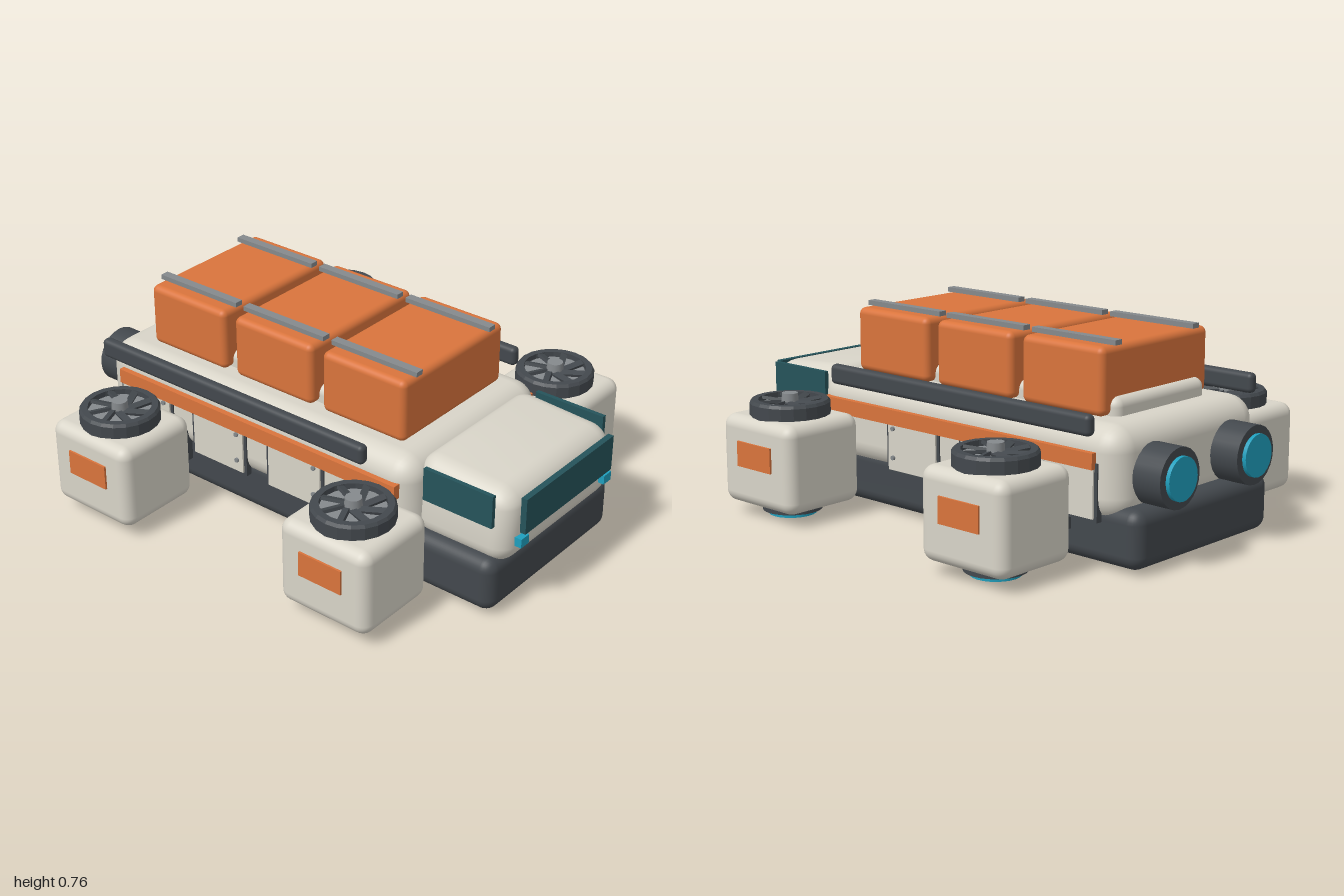
import * as THREE from 'three';
import { RoundedBoxGeometry } from 'three/addons/geometries/RoundedBoxGeometry.js';

const mat = (color) => new THREE.MeshStandardMaterial({ color });

export function createModel() {
  const model = new THREE.Group();
  const light = mat(0xd8d4c8), dark = mat(0x43484d), orange = mat(0xd9743c);
  const glass = mat(0x25535a), cyan = mat(0x1f9fbd), metal = mat(0x85898c);

  const add = (parent, name, geometry, material, x, y, z) => {
    const mesh = new THREE.Mesh(geometry, material);
    mesh.name = name;
    mesh.position.set(x, y, z);
    parent.add(mesh);
    return mesh;
  };
  // Box given by its bounds; r > 0 rounds the edges
  const box = (parent, name, material, [x0, x1], [y0, y1], [z0, z1], r = 0) => {
    const size = [x1 - x0, y1 - y0, z1 - z0];
    const geometry = r ? new RoundedBoxGeometry(...size, 4, r) : new THREE.BoxGeometry(...size);
    return add(parent, name, geometry, material, (x0 + x1) / 2, (y0 + y1) / 2, (z0 + z1) / 2);
  };
  // Box on one side of the model, from inner to outer distance
  const sideBox = (name, material, s, xs, ys, [zi, zo], r) =>
    box(model, name, material, xs, ys, s > 0 ? [zi, zo] : [-zo, -zi], r);
  const disc = (parent, name, material, rTop, rBottom, y0, y1, sides = 24) =>
    add(parent, name, new THREE.CylinderGeometry(rTop, rBottom, y1 - y0, sides), material, 0, (y0 + y1) / 2, 0);

  // Hull, body and roof deck
  box(model, 'hull', dark, [-0.94, 0.94], [0.015, 0.227], [-0.378, 0.378], 0.05);
  box(model, 'body', light, [-0.87, 0.61], [0.165, 0.5], [-0.4, 0.4], 0.09);
  box(model, 'roofDeck', light, [-0.74, 0.48], [0.46, 0.565], [-0.25, 0.25], 0.035);
  box(model, 'deckBar', orange, [-0.33, -0.285], [0.555, 0.587], [-0.16, 0.16]);

  // Cab: rounded box with the roof sloping forward and narrowed, nose tucked under
  const cab = box(model, 'cab', light, [0.565, 0.98], [0.19, 0.505], [-0.338, 0.338], 0.075);
  const p = cab.geometry.attributes.position;
  for (let i = 0; i < p.count; i++) {
    const x = p.getX(i), y = p.getY(i), z = p.getZ(i);
    const forward = x / 0.415 + 0.5, up = Math.max(0, y / 0.1575);
    p.setXYZ(i, x - 0.02 * forward * Math.abs(y / 0.1575), y - 0.025 * forward * up, z * (1 - 0.05 * up));
  }
  cab.geometry.computeVertexNormals();
  // Keep the normals continuous over the rounded corners
  const n = cab.geometry.attributes.normal, sums = new Map();
  const key = (i) => [p.getX(i), p.getY(i), p.getZ(i)].map((v) => Math.round(v * 1e4)).join();
  for (let i = 0; i < p.count; i++) {
    const sum = sums.get(key(i)) ?? new THREE.Vector3();
    sums.set(key(i), sum.add(new THREE.Vector3().fromBufferAttribute(n, i)));
  }
  for (let i = 0; i < p.count; i++) {
    const v = sums.get(key(i)).clone().normalize();
    n.setXYZ(i, v.x, v.y, v.z);
  }
  box(model, 'windshield', glass, [0.977, 1], [0.327, 0.466], [-0.27, 0.27]);

  // Cargo crates with a pair of straps each
  for (const x of [-0.525, -0.107, 0.31]) {
    box(model, 'crate', orange, [x - 0.185, x + 0.185], [0.5, 0.742], [-0.295, 0.295], 0.025);
    for (const z of [-0.215, 0.215])
      box(model, 'strap', metal, [x - 0.19, x + 0.19], [0.742, 0.76], [z - 0.017, z + 0.017]);
  }

  // Lift pod, modelled for the +z side around its own vertical axis
  const liftPod = (s, x, z) => {
    const pod = new THREE.Group();
    pod.name = 'liftPod';
    pod.position.set(x, 0, s * z);
    model.add(pod);
    box(pod, 'podShell', light, [-0.193, 0.193], [0.045, 0.38], [-0.175, 0.175], 0.045);
    box(pod, 'podPlate', orange, [-0.092, 0.092], [0.195, 0.29], s > 0 ? [0.165, 0.183] : [-0.183, -0.165]);
    // Fan: open ring, backing disc, skewed blades and hub
    const ring = [[0.118, 0.375], [0.15, 0.375], [0.15, 0.425], [0.142, 0.436], [0.118, 0.436], [0.118, 0.375]];
    const ringGeometry = new THREE.LatheGeometry(ring.map(([a, b]) => new THREE.Vector2(a, b)), 20).toNonIndexed();
    ringGeometry.computeVertexNormals();
    add(pod, 'fanRing', ringGeometry, dark, 0, 0, 0);
    disc(pod, 'fanDisc', metal, 0.12, 0.12, 0.375, 0.415);
    for (let i = 0; i < 8; i++) {
      const spoke = new THREE.Group();
      spoke.name = 'fanBlade';
      spoke.rotation.y = (i * Math.PI) / 4 + 0.2;
      pod.add(spoke);
      const blade = add(spoke, 'blade', new THREE.BoxGeometry(0.1, 0.012, 0.025), dark, 0.072, 0.424, 0);
      blade.rotation.set(0.3, 0.25, 0);
    }
    disc(pod, 'fanHub', metal, 0.03, 0.034, 0.4, 0.457, 12);
    // Downward nozzle
    disc(pod, 'nozzle', dark, 0.112, 0.112, 0.016, 0.06);
    disc(pod, 'nozzleGlow', cyan, 0.09, 0.09, 0, 0.03);
  };

  for (const s of [1, -1]) {
    // Rails, stripes and cab fittings
    sideBox('sideRail', dark, s, [-0.805, 0.455], [0.48, 0.555], [0.435, 0.477], 0.018);
    sideBox('sideStripe', orange, s, [-0.775, 0.555], [0.355, 0.412], [0.39, 0.422]);
    sideBox('sideWindow', glass, s, [0.625, 0.915], [0.355, 0.482], [0.333, 0.35]);
    box(model, 'headlight', cyan, [0.955, 0.994], [0.275, 0.31], [s * 0.26 - 0.023, s * 0.26 + 0.023]);

    // Framed hatches with bolts
    for (const x of [-0.65, -0.28, 0.09]) {
      sideBox('hatchFrame', dark, s, [x - 0.135, x + 0.135], [0.17, 0.375], [0.38, 0.405]);
      sideBox('hatch', light, s, [x - 0.122, x + 0.122], [0.182, 0.362], [0.39, 0.412]);
      for (const y of [0.23, 0.34]) {
        const bolt = add(model, 'hatchBolt', new THREE.CylinderGeometry(0.009, 0.009, 0.012, 8), metal, x + 0.095, y, s * 0.414);
        bolt.rotation.x = Math.PI / 2;
      }
    }

    // Pods on their struts
    for (const [x, z] of [[-0.548, 0.645], [0.528, 0.61]]) {
      sideBox('podStrut', dark, s, [x - 0.1, x + 0.1], [0.12, 0.25], [0.34, z - 0.14]);
      liftPod(s, x, z);
    }

    // Rear thruster
    const thruster = new THREE.Group();
    thruster.name = 'rearThruster';
    thruster.position.set(-0.87, 0.325, s * 0.215);
    thruster.rotation.z = Math.PI / 2;
    model.add(thruster);
    disc(thruster, 'thrusterBarrel', dark, 0.108, 0.108, -0.05, 0.115);
    disc(thruster, 'thrusterGlow', cyan, 0.078, 0.078, 0.1, 0.13);
  }

  return model;
}
